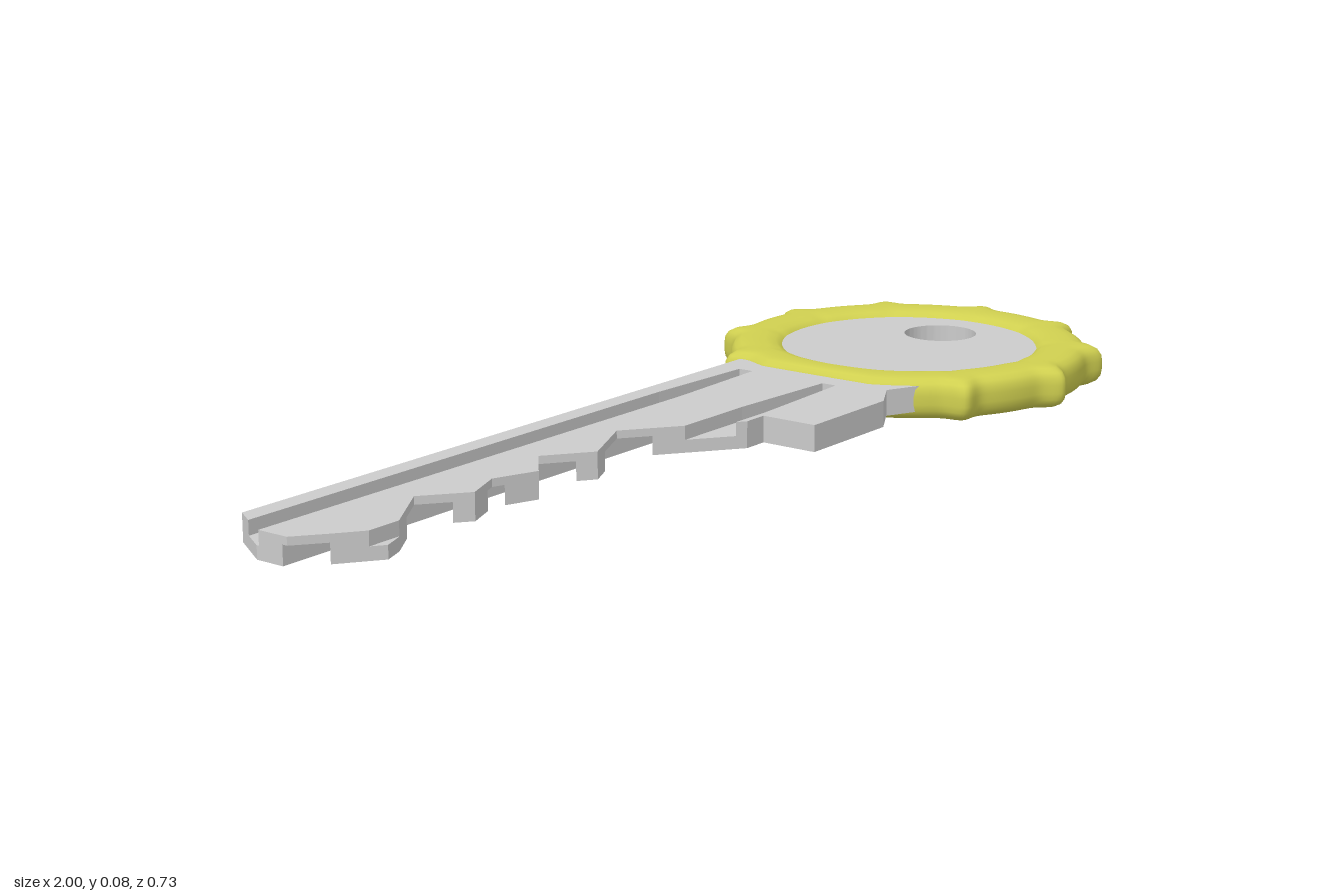
import * as THREE from 'three';
import { mergeGeometries, toCreasedNormals } from 'three/addons/utils/BufferGeometryUtils.js';

const grey = new THREE.MeshStandardMaterial({ color: 0xcccccc });
const yellow = new THREE.MeshStandardMaterial({ color: 0xd0d050 });
const Y0 = 0.019, Y1 = 0.067, BACK = -0.187;
const GRIP_X = 0.63;

// Upright prism over a plan shape drawn in (x, -z)
function slab(shape, y0, y1) {
  const g = new THREE.ExtrudeGeometry(shape, { depth: y1 - y0, bevelEnabled: false, curveSegments: 48 });
  return g.rotateX(-Math.PI / 2).translate(0, y0, 0);
}

// Part of a convex polygon on one side of the line a-b
function clip(poly, a, b, sign) {
  const side = (p) => sign * ((b[0] - a[0]) * (p[1] - a[1]) - (b[1] - a[1]) * (p[0] - a[0]));
  const out = [];
  poly.forEach((p, i) => {
    const q = poly[(i + 1) % poly.length], dp = side(p), dq = side(q);
    if (dp >= 0) out.push(p);
    if (dp * dq < 0) {
      const t = dp / (dp - dq);
      out.push([p[0] + t * (q[0] - p[0]), p[1] + t * (q[1] - p[1])]);
    }
  });
  return out;
}

function area(poly) {
  return Math.abs(poly.reduce((s, p, i) => {
    const q = poly[(i + 1) % poly.length];
    return s + p[0] * q[1] - q[0] * p[1];
  }, 0)) / 2;
}

// Long groove from the tip with a tapering end
function groove(z0, z1, xTaper, xEnd, inset, y0, y1) {
  return {
    y0, y1,
    poly: [[-1.1, z0], [xTaper, z0], [xEnd, z0 + inset], [xEnd, z1 - inset], [xTaper, z1], [-1.1, z1]],
  };
}

// Blade: columns between the corners of the toothed edge, split by the grooves
function makeBlade() {
  const front = [
    [-1, -0.04], [-0.95, 0], [-0.88, 0.052], [-0.84, 0.037], [-0.725, -0.038], [-0.65, 0.022],
    [-0.575, -0.008], [-0.495, 0.022], [-0.425, -0.038], [-0.345, 0.022], [-0.22, -0.038],
    [-0.035, 0.102], [0.013, 0.102], [0.013, 0.21], [0.227, 0.21], [0.297, 0.17], [0.36, 0.2],
  ];
  const grooves = [
    groove(-0.15, -0.1, 0.04, 0.27, 0.01, Y0, 0.042),
    groove(0.035, 0.09, 0.04, 0.27, 0.013, Y0, 0.042),
    groove(-0.05, 0, -0.1, -0.03, 0.012, 0.053, Y1),
  ];
  const cells = [];
  for (let i = 0; i < front.length - 1; i++) {
    const a = front[i], b = front[i + 1];
    if (a[0] === b[0]) continue;
    const back = [a[0], i === 0 ? -0.105 : BACK];
    let pieces = [[back, [b[0], BACK], b, a]];
    for (const g of grooves) {
      const rest = [];
      for (let piece of pieces) {
        g.poly.forEach((p, k) => {
          const q = g.poly[(k + 1) % g.poly.length];
          rest.push(clip(piece, p, q, -1));
          piece = clip(piece, p, q, 1);
        });
        cells.push({ poly: piece, y0: g.y0, y1: g.y1 });
      }
      pieces = rest.filter((p) => p.length > 2 && area(p) > 1e-7);
    }
    pieces.forEach((poly) => cells.push({ poly, y0: Y0, y1: Y1 }));
  }
  const parts = cells
    .filter((c) => c.poly.length > 2 && area(c.poly) > 1e-7)
    .map((c) => slab(new THREE.Shape(c.poly.map((p) => new THREE.Vector2(p[0], -p[1]))), c.y0, c.y1));
  return mergeGeometries(parts);
}

// Round plate inside the grip, with the keyring hole
function makePlate() {
  const s = new THREE.Shape();
  s.absarc(GRIP_X, 0, 0.26, 0, Math.PI * 2);
  const hole = new THREE.Path();
  hole.absarc(0.75, 0.004, 0.07, 0, Math.PI * 2, true);
  s.holes.push(hole);
  return toCreasedNormals(slab(s, Y0, Y1), 0.6);
}

// Outer radius of the grip: a circle with nine knobs, cut flat at the blade
function gripRadius(angle) {
  let r = 0.342;
  for (let i = 0; i < 9; i++) {
    const knob = THREE.MathUtils.degToRad(-144 + 34.3 * i);
    const d = Math.atan2(Math.sin(angle - knob), Math.cos(angle - knob));
    r += 0.029 * Math.exp(-((d / 0.07) ** 2));
  }
  const c = Math.cos(angle);
  return c < -0.1 ? Math.min(r, 0.32 / -c) : r;
}

// Grip: rounded section swept around the knobbed outline
function makeGrip() {
  const inner = 0.24, N = 360;
  const half = [[0, 0.018], [0.04, 0.027], [0.16, 0.035], [0.35, 0.0395], [0.65, 0.0395],
    [0.82, 0.037], [0.93, 0.03], [0.985, 0.02], [1, 0.008]];
  const section = [...half, ...half.map(([t, h]) => [t, -h]).reverse()];
  const M = section.length, pos = [], idx = [];
  for (let i = 0; i < N; i++) {
    const a = (i / N) * Math.PI * 2, outer = gripRadius(a);
    section.forEach(([t, h], j) => {
      const r = inner + t * (outer - inner);
      pos.push(GRIP_X + r * Math.cos(a), 0.04 + h, r * Math.sin(a));
      const n = ((i + 1) % N) * M, k = (j + 1) % M;
      idx.push(i * M + j, n + j, n + k, i * M + j, n + k, i * M + k);
    });
  }
  const g = new THREE.BufferGeometry();
  g.setAttribute('position', new THREE.Float32BufferAttribute(pos, 3));
  g.setIndex(idx);
  g.computeVertexNormals();
  return g;
}

export function createModel() {
  const group = new THREE.Group();
  group.name = 'key';
  const add = (name, geometry, material) => {
    const m = new THREE.Mesh(geometry, material);
    m.name = name;
    group.add(m);
  };
  add('blade', makeBlade(), grey);
  add('headPlate', makePlate(), grey);
  add('grip', makeGrip(), yellow);
  return group;
}
